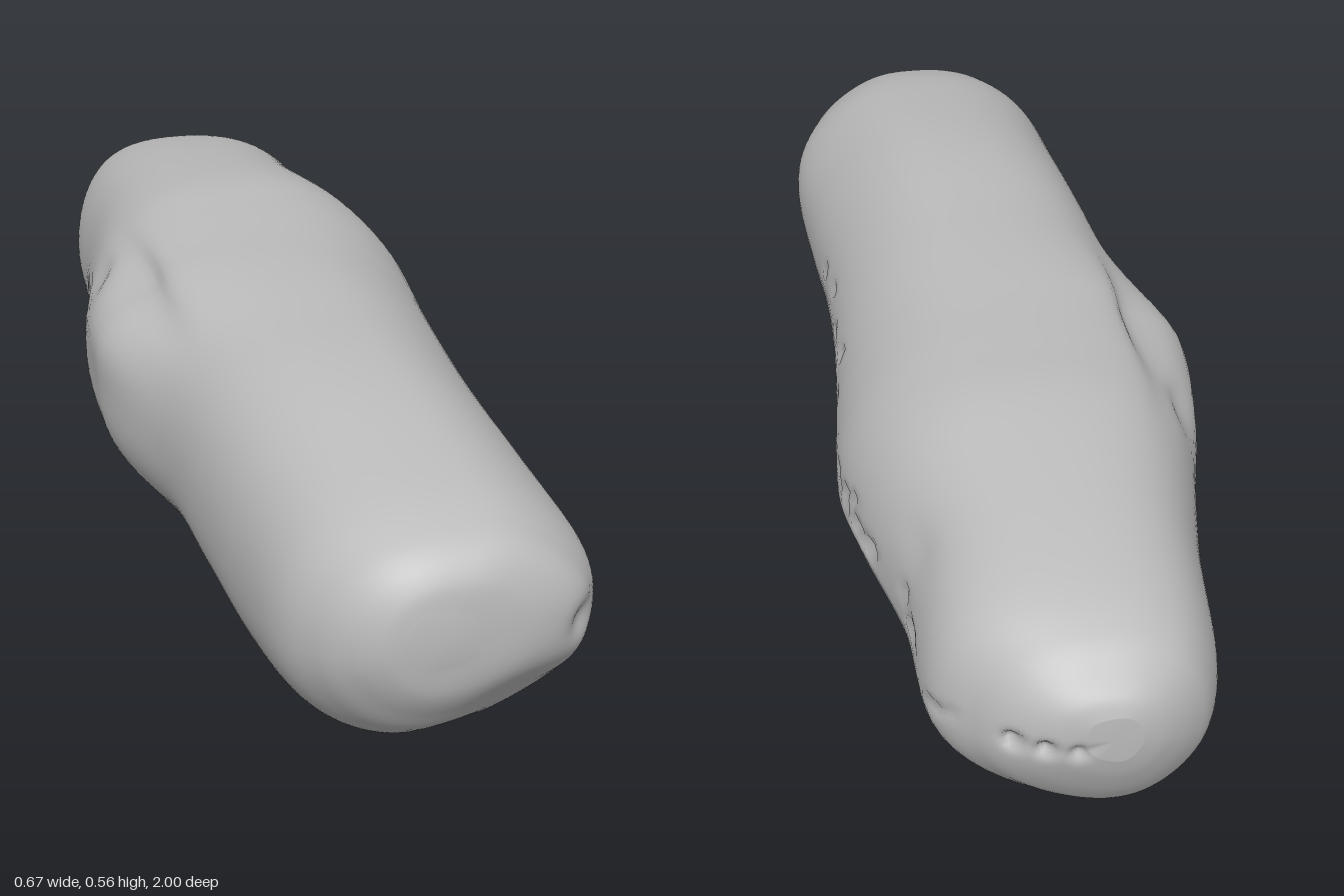
import * as THREE from 'three';

// Outline stations along the loaf: z, min x, max x, bottom y, top y
const STATIONS = [
  [-1, -0.07, 0.02, 0.27, 0.36],
  [-0.985, -0.115, 0.075, 0.22, 0.39],
  [-0.95, -0.165, 0.135, 0.15, 0.42],
  [-0.9, -0.205, 0.185, 0.09, 0.455],
  [-0.8, -0.235, 0.25, 0.035, 0.49],
  [-0.6, -0.255, 0.262, 0.02, 0.53],
  [-0.4, -0.288, 0.31, 0.013, 0.558],
  [-0.25, -0.322, 0.333, 0.015, 0.56],
  [-0.1, -0.33, 0.325, 0.02, 0.56],
  [0, -0.323, 0.315, 0.025, 0.56],
  [0.2, -0.272, 0.3, 0.03, 0.557],
  [0.4, -0.25, 0.3, 0.01, 0.555],
  [0.6, -0.235, 0.31, 0.003, 0.54],
  [0.8, -0.215, 0.32, 0.045, 0.513],
  [0.9, -0.175, 0.29, 0.105, 0.488],
  [0.95, -0.135, 0.25, 0.165, 0.463],
  [0.98, -0.09, 0.17, 0.22, 0.425],
  [0.99, -0.05, 0.07, 0.28, 0.38],
];

// Broad dents and bumps: centre, reach, push
const FEATURES = [
  [[0.27, 0.15, -0.12], [0.12, 0.06, 0.12], [-0.035, 0.015, 0]],
  [[0.28, 0.14, -0.36], [0.12, 0.06, 0.14], [-0.025, 0.015, 0]],
  [[0.3, 0.24, -0.25], [0.1, 0.03, 0.25], [0.006, 0, 0]],
  [[-0.3, 0.38, -0.08], [0.07, 0.06, 0.16], [-0.015, 0.01, 0]],
  [[-0.25, 0.49, -0.1], [0.06, 0.035, 0.2], [0.035, -0.005, 0]],
  [[-0.27, 0.42, -0.28], [0.06, 0.04, 0.06], [0.02, 0, 0]],
  [[0.18, 0.15, 0.94], [0.09, 0.08, 0.1], [0, 0, -0.035]],
  [[0.06, 0.06, 0.87], [0.035, 0.04, 0.06], [0, 0.02, -0.015]],
  [[0.26, 0.3, 0.93], [0.03, 0.03, 0.04], [-0.01, 0, -0.015]],
  [[0.27, 0.42, -0.6], [0.06, 0.04, 0.06], [-0.008, 0, 0]],
  [[0.05, 0.02, -0.02], [0.1, 0.05, 0.05], [0, -0.01, 0]],
];

function seeded(seed) {
  return () => (seed = (seed * 16807) % 2147483647) / 2147483647;
}

// Small crumpled pits running along the right side and round the back end
function crumples() {
  const rand = seeded(77);
  const pits = [];
  const row = (count, z0, z1, y) => {
    for (let i = 0; i < count; i++) {
      const z = z0 + (z1 - z0) * (i + rand()) / count;
      const depth = 0.018 + rand() * 0.015;
      pits.push([[0.29, y + (rand() - 0.5) * 0.05, z], [0.06, 0.011, 0.014], [-depth, 0, 0]]);
    }
  };
  row(5, 0.4, -0.04, 0.34);
  row(8, -0.2, -0.46, 0.3);
  row(3, -0.6, -0.7, 0.31);
  row(3, -0.78, -0.87, 0.28);
  for (let i = 0; i < 3; i++) {
    pits.push([[0.03 + i * 0.05, 0.29, -0.96], [0.015, 0.015, 0.05], [0, 0, 0.025]]);
  }
  return pits;
}

function deform(p, features) {
  const out = p.slice();
  for (const [c, r, push] of features) {
    const d = p.reduce((s, v, k) => s + ((v - c[k]) / r[k]) ** 2, 0);
    if (d > 9) continue;
    const w = Math.exp(-d);
    for (let k = 0; k < 3; k++) out[k] += push[k] * w;
  }
  return out;
}

// Smooth blend between neighbouring stations
function station(t) {
  const last = STATIONS.length - 1;
  const i = Math.min(Math.floor(t), last - 1);
  const f = t - i;
  const at = (k) => STATIONS[Math.max(0, Math.min(last, k))];
  return STATIONS[i].map((b, k) => {
    const a = at(i - 1)[k], c = at(i + 1)[k], d = at(i + 2)[k];
    return b + 0.5 * f * (c - a + f * (2 * a - 5 * b + 4 * c - d + f * (3 * (b - c) + d - a)));
  });
}

function loafGeometry() {
  const around = 104, steps = 8;
  const rings = (STATIONS.length - 1) * steps + 1;
  const features = [...FEATURES, ...crumples()];
  const positions = [], index = [];

  // Rounded cross-sections: squarest at upper left, with the full right
  // shoulder turning from the top at the back to the bottom at the front
  for (let j = 0; j < rings; j++) {
    const [z, x0, x1, y0, y1] = station(j / steps);
    const cx = (x0 + x1) / 2, cy = (y0 + y1) / 2;
    const rx = (x1 - x0) / 2, ry = (y1 - y0) / 2;
    for (let i = 0; i < around; i++) {
      const a = (i / around) * Math.PI * 2;
      const c = Math.cos(a), s = Math.sin(a);
      const turn = -0.5 * z * s * Math.max(0, c);
      const power = 2 / (2.12 + 0.2 * s - 0.28 * s * c + turn);
      // The underside leans a little to the left
      const lean = 0.16 * rx * Math.min(0, s) ** 2;
      const x = cx - lean + rx * Math.sign(c) * Math.abs(c) ** power;
      const y = cy + ry * Math.sign(s) * Math.abs(s) ** power;
      // Gentle hand-shaped unevenness
      const wave = 0.0015 * Math.sin(6 * z + 3 * a) * Math.sin(9 * z - 2 * a);
      positions.push(...deform([x + wave * c, Math.max(0, y + wave * s), z], features));
    }
  }
  for (let j = 0; j < rings - 1; j++) {
    for (let i = 0; i < around; i++) {
      const a = j * around + i, b = j * around + ((i + 1) % around);
      index.push(a, b, a + around, b, b + around, a + around);
    }
  }

  // Close both ends
  const back = positions.length / 3;
  positions.push(-0.025, 0.315, -1.001, 0.01, 0.33, 0.997);
  const lastRing = (rings - 1) * around;
  for (let i = 0; i < around; i++) {
    const n = (i + 1) % around;
    index.push(back, n, i, back + 1, lastRing + i, lastRing + n);
  }

  const geometry = new THREE.BufferGeometry();
  geometry.setAttribute('position', new THREE.Float32BufferAttribute(positions, 3));
  geometry.setIndex(index);
  geometry.computeVertexNormals();
  return geometry;
}

export function createModel() {
  const group = new THREE.Group();
  group.name = 'lumpyLoaf';
  const grey = new THREE.MeshStandardMaterial({ color: 0xbcbcbc });
  grey.name = 'plain grey';
  const body = new THREE.Mesh(loafGeometry(), grey);
  body.name = 'loafBody';
  group.add(body);
  return group;
}
